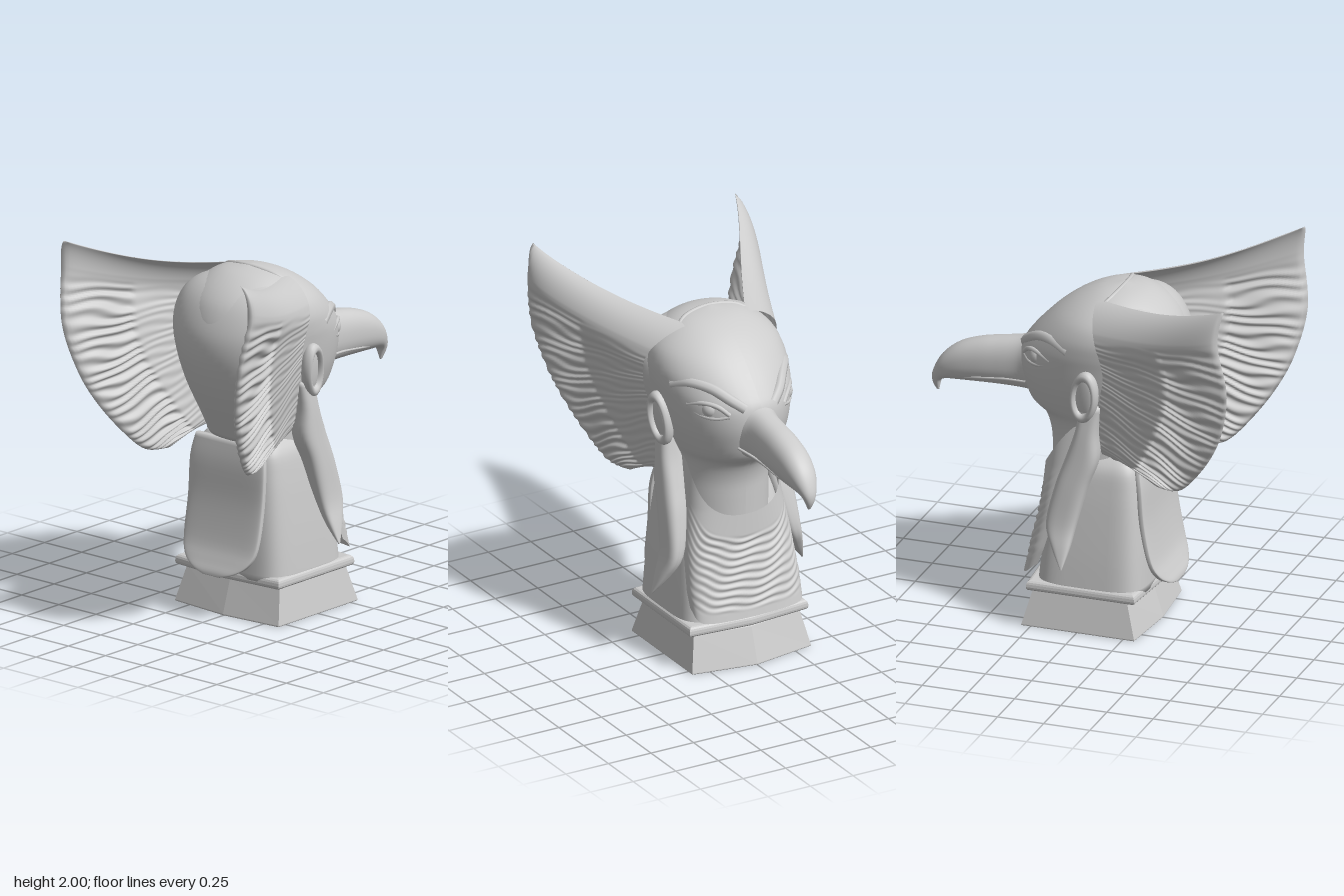
import * as THREE from 'three';

const material = new THREE.MeshStandardMaterial({ color: 0xcccccc });
const thin = new THREE.MeshStandardMaterial({ color: 0xcccccc, side: THREE.DoubleSide });
const { lerp, smoothstep } = THREE.MathUtils;

function part(parent, name, geometry, mat = material) {
  const mesh = new THREE.Mesh(geometry, mat);
  mesh.name = name;
  parent.add(mesh);
  return mesh;
}

// Smooth value of a table of rows at t in 0..1 (Catmull-Rom per column)
function sample(rows, t) {
  const f = Math.min(t, 0.99999) * (rows.length - 1), i = Math.floor(f), k = f - i;
  const at = (n) => rows[Math.max(0, Math.min(rows.length - 1, n))];
  return rows[i].map((p1, c) => {
    const p0 = at(i - 1)[c], p2 = at(i + 1)[c], p3 = at(i + 2)[c];
    return 0.5 * (2 * p1 + (p2 - p0) * k + (2 * p0 - 5 * p1 + 4 * p2 - p3) * k * k
      + (3 * p1 - p0 - 3 * p2 + p3) * k * k * k);
  });
}

// Linear lookup of y in a table of rows [y, ...values]
function lookup(rows, y) {
  let i = 0;
  while (i < rows.length - 2 && y > rows[i + 1][0]) i++;
  const k = (y - rows[i][0]) / (rows[i + 1][0] - rows[i][0]);
  return rows[i].map((a, c) => lerp(a, rows[i + 1][c], k));
}

// Surface from fn(u, v) -> [x, y, z]
function grid(fn, nu, nv) {
  const pos = [], idx = [];
  for (let j = 0; j <= nv; j++) {
    for (let i = 0; i <= nu; i++) pos.push(...fn(i / nu, j / nv));
  }
  for (let j = 0; j < nv; j++) {
    for (let i = 0; i < nu; i++) {
      const a = j * (nu + 1) + i, b = a + nu + 1;
      idx.push(a, b, a + 1, b, b + 1, a + 1);
    }
  }
  const g = new THREE.BufferGeometry();
  g.setAttribute('position', new THREE.Float32BufferAttribute(pos, 3));
  g.setIndex(idx);
  g.computeVertexNormals();
  return g;
}

// Closed loft; row = [ax, ay, bx, by, halfWidth, zCentre], power squares the section
function loft(rows, power = 2, steps = 4, sides = 48) {
  const n = (rows.length - 1) * steps;
  const sp = (c) => Math.sign(c) * Math.pow(Math.abs(c), 2 / power);
  return grid((u, v) => {
    const j = Math.round(v * (n + 2)) - 1;
    const [ax, ay, bx, by, w, zc = 0] = sample(rows, Math.max(0, Math.min(n, j)) / n);
    const k = j < 0 || j > n ? 0 : 1, c = sp(Math.cos(u * 2 * Math.PI)) * k;
    const s = sp(Math.sin(u * 2 * Math.PI)) * k;
    return [(ax + bx) / 2 + (ax - bx) / 2 * c, (ay + by) / 2 + (ay - by) / 2 * c, zc + w * s];
  }, sides, n + 2);
}

// Rows given as [y, front, back, halfWidth, zCentre]
const level = (rows) => rows.map(([y, f, b, w, z = 0]) => [f, y, b, y, w, z]);

// Slab with a shallow point at front and back; s0, s1 scale its bottom and top
function slab(y0, y1, corner, apex, s0, s1, bevel) {
  const shape = new THREE.Shape([[-0.315, -0.35], [corner, -0.35], [apex, 0], [corner, 0.35],
    [-0.315, 0.35], [-0.345, 0]].map(([x, z]) => new THREE.Vector2(x, z)));
  const h = y1 - y0;
  const g = new THREE.ExtrudeGeometry(shape, {
    depth: h - 2 * bevel, bevelSize: bevel, bevelOffset: -bevel, bevelThickness: bevel, bevelSegments: 3,
  });
  g.rotateX(-Math.PI / 2).translate(0, y0 + bevel, 0);
  const p = g.attributes.position;
  for (let i = 0; i < p.count; i++) {
    const s = lerp(s0, s1, (p.getY(i) - y0) / h);
    p.setX(i, p.getX(i) * s);
    p.setZ(i, p.getZ(i) * lerp(s, 1, 0.35));
  }
  g.computeVertexNormals();
  return g;
}

function tube(points, radius) {
  const curve = new THREE.CatmullRomCurve3(points.map((p) => new THREE.Vector3(...p)));
  return new THREE.TubeGeometry(curve, 24, radius, 8);
}

// Ribbed crest, a closed thin shell that leans outward, with a smooth rim curling in at the top
function crestGeometry() {
  const outer = [[-0.42, 0.85], [-0.55, 0.865], [-0.66, 0.97], [-0.78, 1.14], [-0.86, 1.32],
    [-0.905, 1.56], [-0.87, 1.83], [-0.89, 2.0]];
  const inner = [[-0.1, 0.95], [-0.08, 1.1], [-0.12, 1.3], [-0.15, 1.45], [-0.12, 1.6], [-0.05, 1.78]];
  return grid((s, v) => {
    const u = s < 0.5 ? 2 * s : 2 - 2 * s;
    const a = sample(inner, v), b = sample(outer, v);
    const x = lerp(a[0], b[0], u);
    const bow = 0.025 * (1 - v) ** 8 - 0.045 * v ** 4;
    const y = lerp(a[1], b[1], u) + bow * Math.sin(Math.PI * u);
    const curl = Math.max(0, (v - 0.78) / 0.22) ** 2;
    const rim = smoothstep(v, 0.72, 0.86);
    const zOut = 0.385 + 0.32 * (-0.1 - x) + 0.2 * (y - 1.6)
      + rim * (0.035 * u - 0.03 * u ** 8) - lerp(0.2, 0.09, u) * curl;
    const ribbed = smoothstep(v, 0.03, 0.08) * (1 - smoothstep(v, 0.8, 0.86));
    const wave = Math.sin(v * 165 + u * 5 + 1.1 * Math.sin(u * 13 + v * 9) + 1.3 * Math.sin(v * 47 + u * 8));
    const far = smoothstep(u, 0.5, 0.53);
    const relief = ribbed * (wave * lerp(0.002, 0.009, far) - 0.006 * far);
    const edge = Math.sqrt(Math.max(0, 1 - u ** 10)) * Math.min(1, 1.6 * Math.sqrt(Math.max(0, Math.sin(Math.PI * v))));
    return [x, y, zOut - 0.04 + (s < 0.5 ? 1 : -1) * (0.04 + relief) * edge];
  }, 90, 210);
}

// Ribbed collar cloth draped over the chest
function bibGeometry() {
  const rows = [[0.26, 0.345, 0.25, 0.315], [0.42, 0.315, 0.19, 0.318], [0.65, 0.27, 0.12, 0.3],
    [0.85, 0.258, 0.06, 0.27], [1.12, 0.235, 0.01, 0.242]]; // y, front x, side x, half width
  return grid((u, v) => {
    const t = u * 2 - 1, a = Math.abs(t);
    const y = lerp(0.27 + 0.07 * a ** 8, 0.81 + 0.3 * a ** 2.4, v);
    const [, f, e, w] = lookup(rows, y);
    const fold = smoothstep(v, 0.06, 0.12) * (1 - smoothstep(v, 0.74, 0.8));
    const r = 0.005 * fold * Math.sin(v * 85 + 1.4 * Math.cos(t * 4) + Math.sin(t * 13 + v * 9));
    const angle = t * Math.PI / 2;
    return [e + (f - e + r) * Math.pow(Math.max(0, Math.cos(angle)), 0.6), y, w * Math.sin(angle)];
  }, 60, 100);
}

export function createModel() {
  const model = new THREE.Group();
  model.name = 'birdHeadBust';

  // Plinth and moulding
  part(model, 'plinth', slab(0, 0.2, 0.3, 0.36, 1, 0.82, 0.008));
  part(model, 'moulding', slab(0.195, 0.25, 0.275, 0.305, 1, 0.98, 0.02));

  // Squared bust body
  part(model, 'body', loft(level([[0.22, 0.255, -0.33, 0.338], [0.4, 0.235, -0.322, 0.325],
    [0.6, 0.195, -0.31, 0.305], [0.76, 0.15, -0.298, 0.285], [0.88, 0.1, -0.28, 0.26],
    [0.95, 0.05, -0.23, 0.2]]), 5, 4, 64));

  // Neck, face and skull in one loft
  part(model, 'head', loft(level([[0.7, 0.235, -0.25, 0.238], [0.88, 0.24, -0.27, 0.238],
    [1.0, 0.248, -0.3, 0.238], [1.1, 0.285, -0.36, 0.25], [1.165, 0.36, -0.41, 0.275],
    [1.27, 0.395, -0.44, 0.31], [1.36, 0.41, -0.47, 0.33], [1.45, 0.4, -0.48, 0.345],
    [1.52, 0.355, -0.47, 0.355], [1.6, 0.285, -0.45, 0.355], [1.68, 0.2, -0.41, 0.325],
    [1.75, 0.1, -0.34, 0.25], [1.8, -0.01, -0.25, 0.15], [1.822, -0.12, -0.14, 0.01]])));

  // Full rounded back of the hood between the crests
  part(model, 'hoodBack', loft(level([[0.92, -0.05, -0.29, 0.22], [1.05, -0.03, -0.36, 0.25],
    [1.2, -0.02, -0.43, 0.3], [1.35, -0.01, -0.475, 0.34], [1.47, 0, -0.483, 0.368],
    [1.57, 0, -0.46, 0.375], [1.67, -0.02, -0.41, 0.34], [1.74, -0.06, -0.34, 0.26],
    [1.79, -0.12, -0.24, 0.13]])));

  // Hooked beak, flaring into the face
  part(model, 'beak', loft([[0.32, 1.16, 0.3, 1.49, 0.14], [0.38, 1.167, 0.38, 1.46, 0.11],
    [0.44, 1.168, 0.43, 1.445, 0.096], [0.53, 1.168, 0.53, 1.427, 0.092], [0.64, 1.165, 0.64, 1.405, 0.09],
    [0.75, 1.16, 0.76, 1.36, 0.082], [0.82, 1.155, 0.85, 1.285, 0.065], [0.855, 1.14, 0.9, 1.19, 0.04],
    [0.865, 1.11, 0.905, 1.13, 0.022], [0.87, 1.08, 0.885, 1.085, 0.006]], 2.3));

  // Chest cloth and back tail
  part(model, 'bib', bibGeometry(), thin);
  part(model, 'backTail', loft(level([[0.235, -0.425, -0.44, 0.06], [0.26, -0.395, -0.435, 0.14],
    [0.31, -0.365, -0.41, 0.21], [0.4, -0.335, -0.375, 0.245], [0.6, -0.295, -0.338, 0.25],
    [0.8, -0.28, -0.322, 0.25], [0.92, -0.26, -0.3, 0.23]]), 5));

  // Raised hood edge across the crown
  part(model, 'hoodEdge', tube([[-0.08, 1.755, 0.22], [-0.12, 1.795, 0.15], [-0.14, 1.815, 0],
    [-0.12, 1.795, -0.15], [-0.08, 1.755, -0.22]], 0.012));

  // Paired parts, built on the +z side and mirrored
  for (const side of [1, -1]) {
    const half = new THREE.Group();
    half.name = side > 0 ? 'nearSide' : 'farSide';
    half.scale.z = side;
    model.add(half);

    part(half, 'crest', crestGeometry(), thin);
    part(half, 'lappet', loft(level([[0.38, 0.052, 0.044, 0.004, 0.442], [0.48, 0.115, 0.02, 0.03, 0.39],
      [0.6, 0.16, 0, 0.045, 0.345], [0.8, 0.12, -0.05, 0.064, 0.312], [0.95, 0.07, -0.1, 0.07, 0.295],
      [1.1, 0.02, -0.1, 0.065, 0.29], [1.25, -0.01, -0.12, 0.035, 0.305]]), 3));

    const ear = new THREE.Group();
    ear.name = 'ear';
    ear.position.set(-0.04, 1.305, 0.34);
    ear.rotation.set(0.08, 0.2, 0.14);
    half.add(ear);
    part(ear, 'earRim', new THREE.TorusGeometry(0.1, 0.024, 12, 36)).scale.set(0.62, 1.2, 1.3);
    part(ear, 'earInner', new THREE.SphereGeometry(0.09, 24, 16)).scale.set(0.55, 1.2, 0.18);

    // Eye, lids, brow and mouth line
    part(half, 'eye', new THREE.SphereGeometry(0.05, 24, 16)).position.set(0.25, 1.445, 0.212);
    part(half, 'upperLid', tube([[0.35, 1.43, 0.157], [0.31, 1.47, 0.203], [0.25, 1.48, 0.25], [0.16, 1.455, 0.296]], 0.013));
    part(half, 'lowerLid', tube([[0.35, 1.42, 0.157], [0.3, 1.405, 0.216], [0.23, 1.41, 0.262], [0.16, 1.44, 0.295]], 0.01));
    part(half, 'brow', tube([[0.37, 1.455, 0.08], [0.325, 1.5, 0.14], [0.25, 1.545, 0.2], [0.15, 1.56, 0.27], [0.05, 1.53, 0.32]], 0.03));
    part(half, 'mouthLine', tube([[0.36, 1.24, 0.113], [0.5, 1.225, 0.083], [0.66, 1.205, 0.07], [0.79, 1.18, 0.042]], 0.007));
  }
  return model;
}
